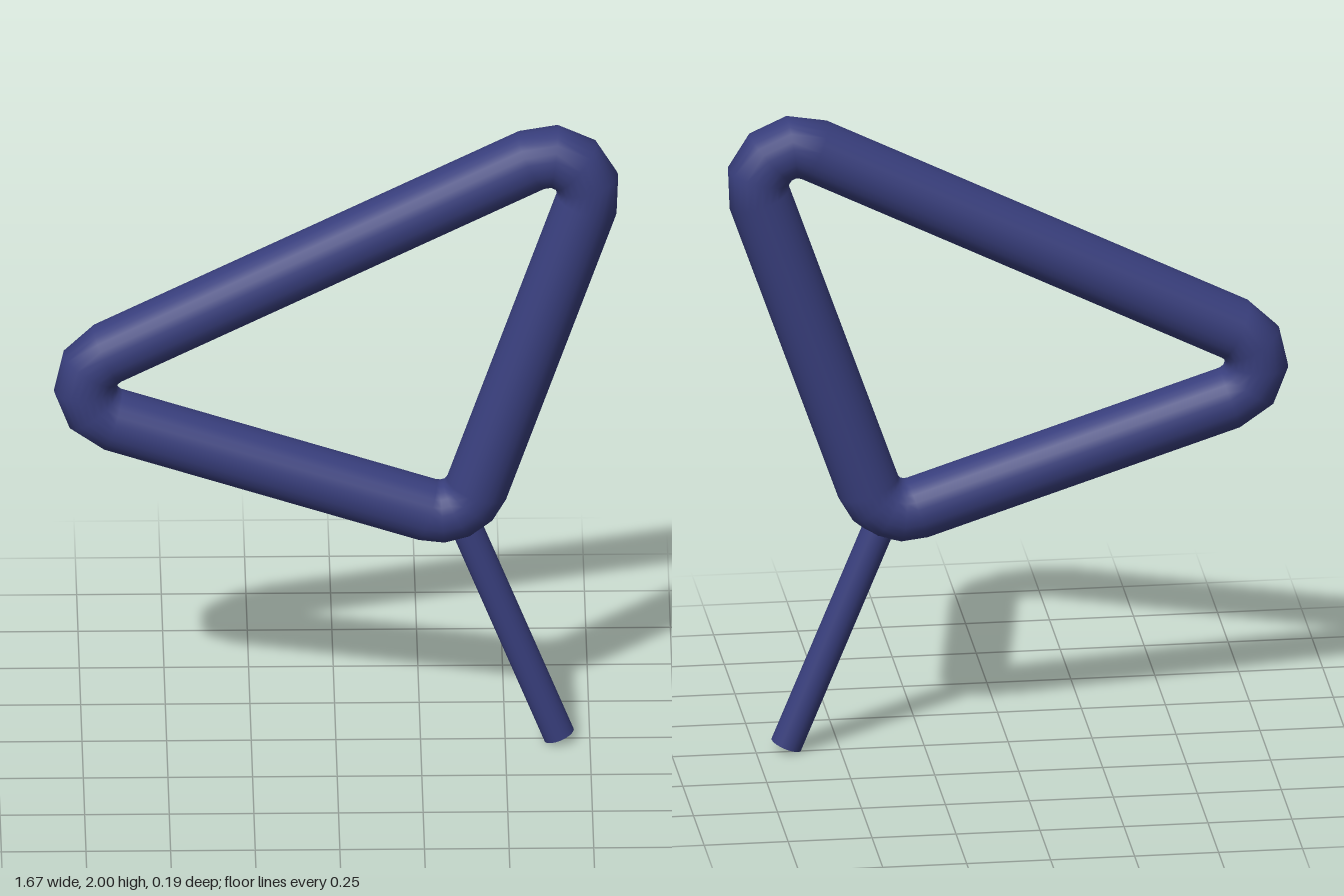
import * as THREE from 'three';

const TUBE_RADIUS = 0.094;
const BEND_RADIUS = 0.117;
const BEND_STEPS = 4;

// Bend centres of the three corners, clockwise from the left one
const CORNERS = [[-0.623, 1.167], [0.63, 1.791], [0.306, 0.864]].map(([x, y]) => new THREE.Vector2(x, y));

// Closed triangle of straight runs joined by coarse circular bends
class RoundedTriangle extends THREE.Curve {
  constructor() {
    super();
    this.rings = [];
    CORNERS.forEach((centre, i) => {
      const before = CORNERS[(i + 2) % 3], after = CORNERS[(i + 1) % 3];
      const start = Math.atan2(centre.y - before.y, centre.x - before.x);
      let turn = Math.atan2(after.y - centre.y, after.x - centre.x) - start;
      while (turn > 0) turn -= Math.PI * 2;
      while (turn < -Math.PI * 2) turn += Math.PI * 2;
      for (let k = 0; k <= BEND_STEPS; k++) {
        const a = start + turn * k / BEND_STEPS;
        this.rings.push({
          point: new THREE.Vector3(centre.x - Math.sin(a) * BEND_RADIUS, centre.y + Math.cos(a) * BEND_RADIUS, 0),
          tangent: new THREE.Vector3(Math.cos(a), Math.sin(a), 0),
        });
      }
    });
  }
  ring(u) { return this.rings[Math.round(u * this.rings.length) % this.rings.length]; }
  getPoint(u, target = new THREE.Vector3()) { return target.copy(this.ring(u).point); }
  getPointAt(u, target) { return this.getPoint(u, target); }
  getTangentAt(u, target = new THREE.Vector3()) { return target.copy(this.ring(u).tangent); }
}

// Round bar between two points
function bar(from, to, radius, material) {
  const dir = to.clone().sub(from);
  const mesh = new THREE.Mesh(new THREE.CylinderGeometry(radius, radius, dir.length(), 24), material);
  mesh.position.copy(from).add(to).multiplyScalar(0.5);
  mesh.quaternion.setFromUnitVectors(new THREE.Vector3(0, 1, 0), dir.normalize());
  return mesh;
}

export function createModel() {
  const group = new THREE.Group();
  const material = new THREE.MeshStandardMaterial({ color: 0x383e7c });

  // Triangular loop
  const path = new RoundedTriangle();
  const loop = new THREE.Mesh(new THREE.TubeGeometry(path, path.rings.length, TUBE_RADIUS, 24, true), material);
  loop.name = 'triangleLoop';
  group.add(loop);

  // Thin handle leaving the lower corner
  const handle = bar(new THREE.Vector3(0.659, 0.018, 0.013), new THREE.Vector3(0.367, 0.742, -0.003), 0.047, material);
  handle.name = 'handle';
  group.add(handle);

  return group;
}
